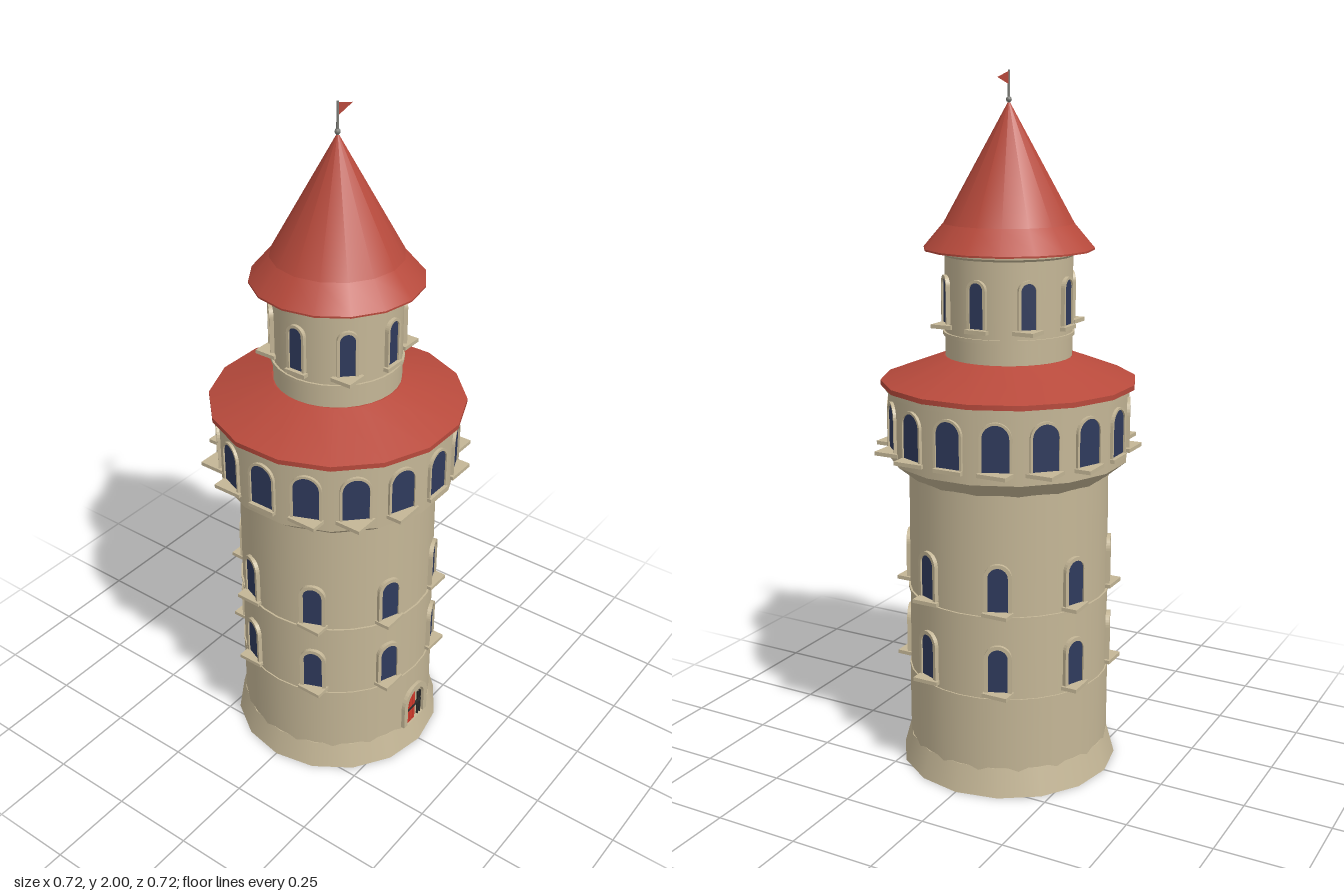
import * as THREE from 'three';
import { mergeGeometries } from 'three/addons/utils/BufferGeometryUtils.js';

const mat = (name, color, side = THREE.FrontSide) => {
  const m = new THREE.MeshStandardMaterial({ color, side });
  m.name = name;
  return m;
};

export function createModel() {
  const stone = mat('stone', 0xc4b696, THREE.DoubleSide);
  const roofRed = mat('roof red', 0xb84a3c, THREE.DoubleSide);
  const glass = mat('dark blue glass', 0x2f3a5c);
  const doorRed = mat('door red', 0xd23a2c);
  const iron = mat('iron', 0x2a2a2a);
  const metal = mat('pole grey', 0x7d7d78);

  const tower = new THREE.Group();
  tower.name = 'tower';

  const add = (name, geo, material, parent = tower) => {
    const m = new THREE.Mesh(geo, material);
    m.name = name;
    parent.add(m);
    return m;
  };

  // Turned part: smooth around the axis, sharp between profile segments
  const turned = (name, profile, sides, material, phi = 0) => {
    const parts = [];
    for (let i = 0; i + 1 < profile.length; i++) {
      const pts = [profile[i], profile[i + 1]].map(([r, y]) => new THREE.Vector2(r, y));
      parts.push(new THREE.LatheGeometry(pts, sides, phi, Math.PI * 2));
    }
    return add(name, mergeGeometries(parts), material);
  };

  // Round-arched outline standing on y = 0
  const arch = (w, h, Target = THREE.Shape) => {
    const s = new Target(), r = w / 2;
    s.moveTo(-r, 0);
    s.lineTo(r, 0);
    s.lineTo(r, h - r);
    s.absarc(0, h - r, r, 0, Math.PI, false);
    s.lineTo(-r, 0);
    return s;
  };
  const archFrame = (w, h, t, depth) => {
    const s = arch(w + 2 * t, h + t);
    s.holes.push(arch(w, h, THREE.Path));
    return new THREE.ExtrudeGeometry(s, { depth, bevelEnabled: false, curveSegments: 8 });
  };

  // Ring of arched windows with frames and square-set sills
  const windowRing = (name, { count, start, r, y, w, h, t, sillW }) => {
    const pane = new THREE.ShapeGeometry(arch(w, h), 8);
    const frame = archFrame(w, h, t, 0.012);
    const ring = new THREE.Group();
    ring.name = name;
    tower.add(ring);
    for (let i = 0; i < count; i++) {
      const a = start + (i / count) * Math.PI * 2;
      const s = Math.sin(a), c = Math.cos(a);
      const win = new THREE.Group();
      win.name = 'window';
      win.position.set(r * s, y, r * c);
      win.rotation.y = a;
      ring.add(win);
      add('windowPane', pane, glass, win).position.z = 0.003;
      add('windowFrame', frame, stone, win).position.z = -0.004;
      // Sills stay parallel to the main axes
      const sx = sillW * Math.abs(c) + 0.025 * Math.abs(s);
      const sz = sillW * Math.abs(s) + 0.025 * Math.abs(c);
      add('windowSill', new THREE.BoxGeometry(sx, 0.011, sz), stone, ring)
        .position.set(r * s, y - 0.008, r * c);
    }
  };

  const half = Math.PI / 16;

  // Main shaft, open below with a floor inside
  turned('base', [[0.32, 0], [0.298, 0.08], [0.285, 0.08]], 16, stone);
  turned('lowerShaft', [[0.295, 0], [0.295, 0.285]], 32, stone);
  turned('upperShaft', [[0.001, 0.285], [0.292, 0.285], [0.288, 0.885]], 32, stone);
  for (const y of [0.285, 0.53]) {
    turned('stringCourse', [[0.288, y], [0.296, y], [0.296, y + 0.007], [0.288, y + 0.007]], 32, stone);
  }

  // Gallery with its corbel and eave moulding
  turned('corbel', [[0.286, 0.88], [0.345, 0.928]], 16, stone, half);
  turned('gallery', [[0.345, 0.928], [0.345, 1.12], [0.351, 1.12], [0.351, 1.14]], 16, stone, half);
  turned('galleryRoof', [[0.18, 1.138], [0.365, 1.138], [0.365, 1.152], [0.185, 1.22], [0.17, 1.22]], 16, roofRed, half);

  // Top drum
  turned('drum', [[0.18, 1.2], [0.18, 1.52]], 32, stone);
  turned('drumBand', [[0.175, 1.28], [0.186, 1.28], [0.186, 1.29], [0.175, 1.29]], 32, stone);
  turned('drumCornice', [[0.178, 1.5], [0.19, 1.508], [0.19, 1.52]], 32, stone);

  // Flared spire
  turned('spire', [[0.17, 1.518], [0.24, 1.518], [0.24, 1.523], [0.183, 1.59], [0.001, 1.918]], 16, roofRed);

  // Windows
  const eighth = Math.PI / 8;
  windowRing('lowerWindows', { count: 8, start: eighth, r: 0.293, y: 0.315, w: 0.056, h: 0.128, t: 0.011, sillW: 0.074 });
  windowRing('middleWindows', { count: 8, start: eighth, r: 0.291, y: 0.553, w: 0.056, h: 0.128, t: 0.011, sillW: 0.074 });
  windowRing('galleryWindows', { count: 16, start: 0, r: 0.339, y: 0.965, w: 0.074, h: 0.13, t: 0.007, sillW: 0.085 });
  windowRing('drumWindows', { count: 8, start: 0, r: 0.181, y: 1.318, w: 0.042, h: 0.126, t: 0.008, sillW: 0.066 });

  // Door with planks and iron fittings
  const door = new THREE.Group();
  door.name = 'door';
  door.position.set(0, 0.08, 0.292);
  tower.add(door);
  add('doorFrame', archFrame(0.086, 0.12, 0.018, 0.012), stone, door);
  for (const [x, w, h] of [[-0.034, 0.012, 0.095], [-0.019, 0.013, 0.11], [-0.004, 0.011, 0.108]]) {
    add('doorPlank', new THREE.BoxGeometry(w, h, 0.008), doorRed, door).position.set(x, h / 2, 0.003);
  }
  add('doorBar', new THREE.BoxGeometry(0.075, 0.007, 0.008), iron, door).position.set(-0.003, 0.054, 0.005);
  for (const x of [0.021, 0.033]) {
    add('doorStrap', new THREE.BoxGeometry(0.004, 0.09, 0.008), iron, door).position.set(x, 0.045, 0.003);
  }

  // Flagpole and pennant
  add('flagpole', new THREE.CylinderGeometry(0.003, 0.004, 0.1, 8), metal).position.y = 1.95;
  add('poleKnob', new THREE.SphereGeometry(0.008, 10, 8), metal).position.y = 1.922;
  const pennant = new THREE.Shape([[0.002, 1.962], [0.065, 1.98], [0.002, 1.996]].map(([x, y]) => new THREE.Vector2(x, y)));
  add('pennant', new THREE.ShapeGeometry(pennant), roofRed);

  return tower;
}
